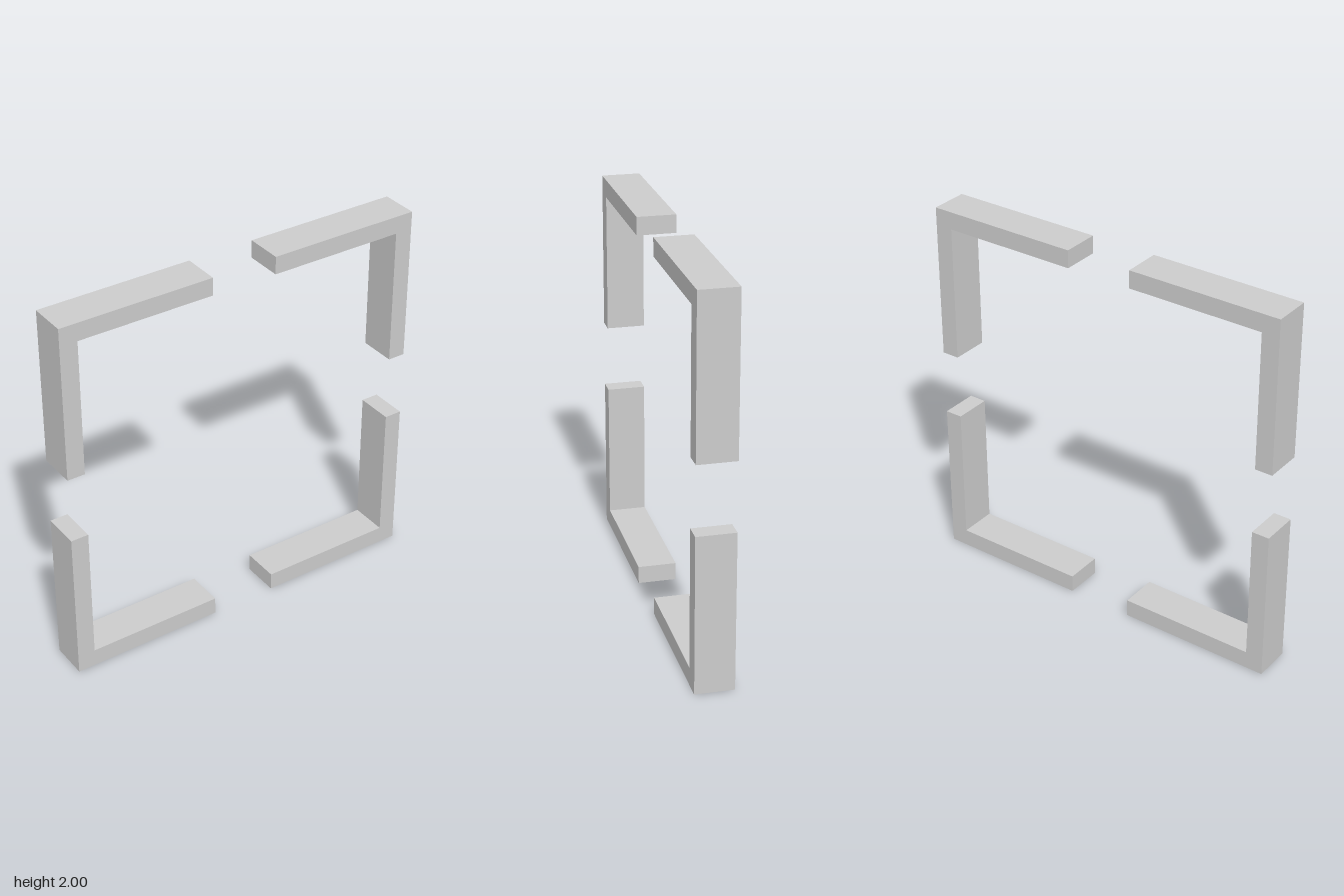
import * as THREE from 'three';

const ARM = 0.822;       // outer length of each arm
const THICKNESS = 0.094; // bar width seen from the front
const DEPTH = 0.2;

// L-shaped corner bracket, outer corner at (-1, -1) around the frame's centre
function bracketGeometry() {
  const outline = new THREE.Shape([
    [0, 0], [ARM, 0], [ARM, THICKNESS],
    [THICKNESS, THICKNESS], [THICKNESS, ARM], [0, ARM],
  ].map(([x, y]) => new THREE.Vector2(x - 1, y - 1)));
  const geometry = new THREE.ExtrudeGeometry(outline, { depth: DEPTH, bevelEnabled: false });
  return geometry.translate(0, 0, -DEPTH / 2);
}

export function createModel() {
  const model = new THREE.Group();
  model.name = 'cornerFrame';
  const material = new THREE.MeshStandardMaterial({ color: 0xcccccc, flatShading: true });
  const geometry = bracketGeometry();

  // Four identical brackets, a quarter turn apart
  const names = ['bottomRightBracket', 'bottomLeftBracket', 'topLeftBracket', 'topRightBracket'];
  names.forEach((name, i) => {
    const bracket = new THREE.Mesh(geometry, material);
    bracket.name = name;
    bracket.rotation.z = i * Math.PI / 2;
    bracket.position.y = 1;
    model.add(bracket);
  });
  return model;
}
